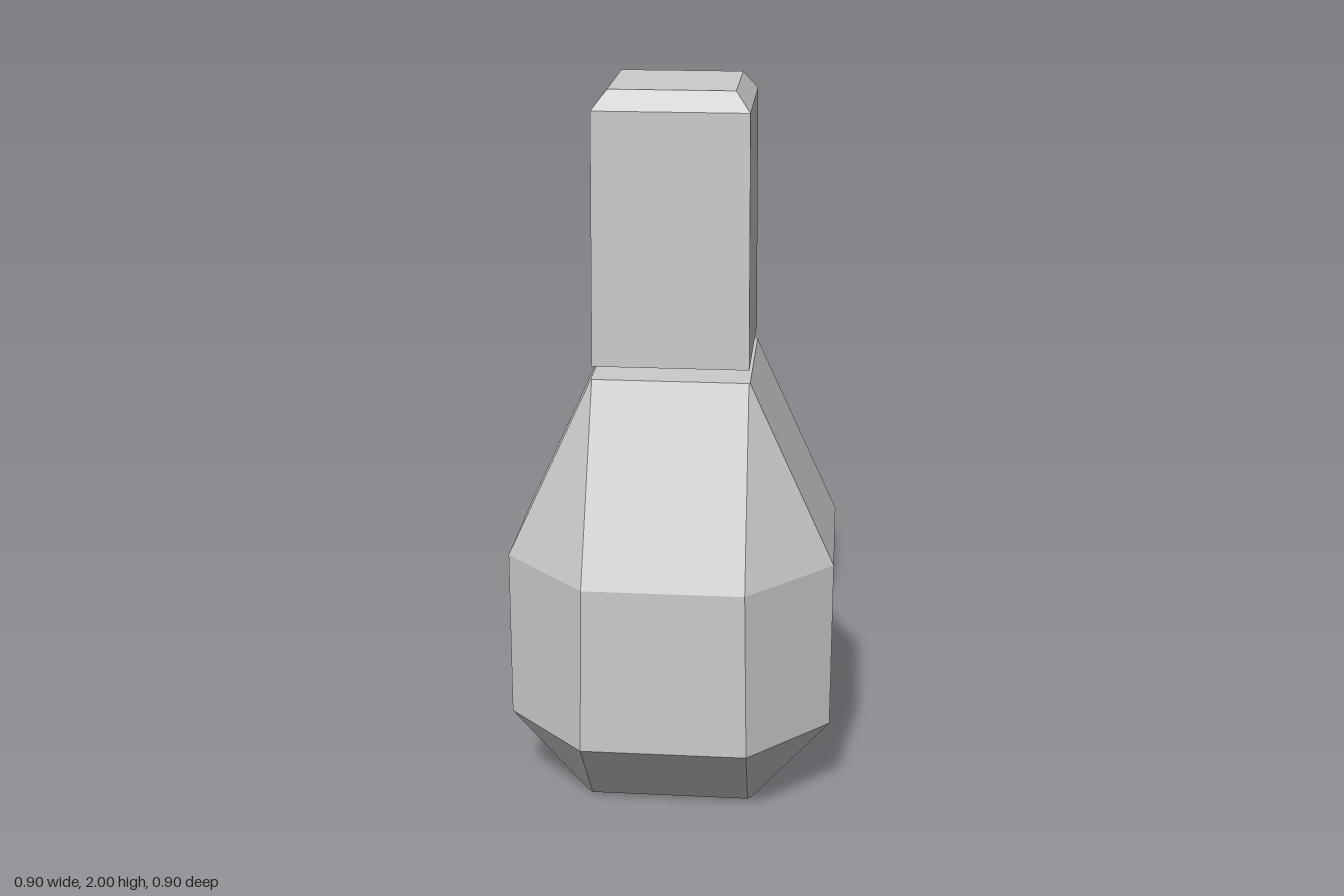
import * as THREE from 'three';

const material = new THREE.MeshStandardMaterial({ color: 0xcccccc, flatShading: true });

// Square ring with cut corners: half width r, half length c of each straight edge
const ring = ([y, r, c]) => [
  [r, -c], [r, c], [c, r], [-c, r], [-r, c], [-r, -c], [-c, -r], [c, -r],
].map(([x, z]) => [x, y, z]);

// Closed solid through a stack of rings, listed from the bottom up
function loft(name, sections) {
  const rings = sections.map(ring);
  const pos = [];
  const tri = (a, b, c) => {
    const same = (p, q) => p.every((v, i) => v === q[i]);
    if (!same(a, b) && !same(b, c) && !same(a, c)) pos.push(...a, ...b, ...c);
  };
  const bottom = rings[0], top = rings[rings.length - 1];
  for (let j = 0; j < 8; j++) {
    const k = (j + 1) % 8;
    for (let i = 0; i < rings.length - 1; i++) {
      const lo = rings[i], hi = rings[i + 1];
      tri(lo[j], hi[j], lo[k]);
      tri(lo[k], hi[j], hi[k]);
    }
    tri([0, bottom[0][1], 0], bottom[j], bottom[k]);
    tri([0, top[0][1], 0], top[k], top[j]);
  }
  const geometry = new THREE.BufferGeometry();
  geometry.setAttribute('position', new THREE.Float32BufferAttribute(pos, 3));
  geometry.computeVertexNormals();
  const mesh = new THREE.Mesh(geometry, material);
  mesh.name = name;
  return mesh;
}

export function createModel() {
  const group = new THREE.Group();
  group.name = 'bottle';

  // Faceted body: narrow base, wide belly with cut corners, tapered shoulder
  group.add(loft('body', [
    [0, 0.233, 0.222],
    [0.247, 0.448, 0.226],
    [0.722, 0.448, 0.217],
    [1.235, 0.213, 0.21],
  ]));

  // Square cap floating just above the body, with a bevelled top
  group.add(loft('cap', [
    [1.27, 0.21, 0.21],
    [1.95, 0.205, 0.205],
    [2, 0.166, 0.166],
  ]));

  return group;
}
